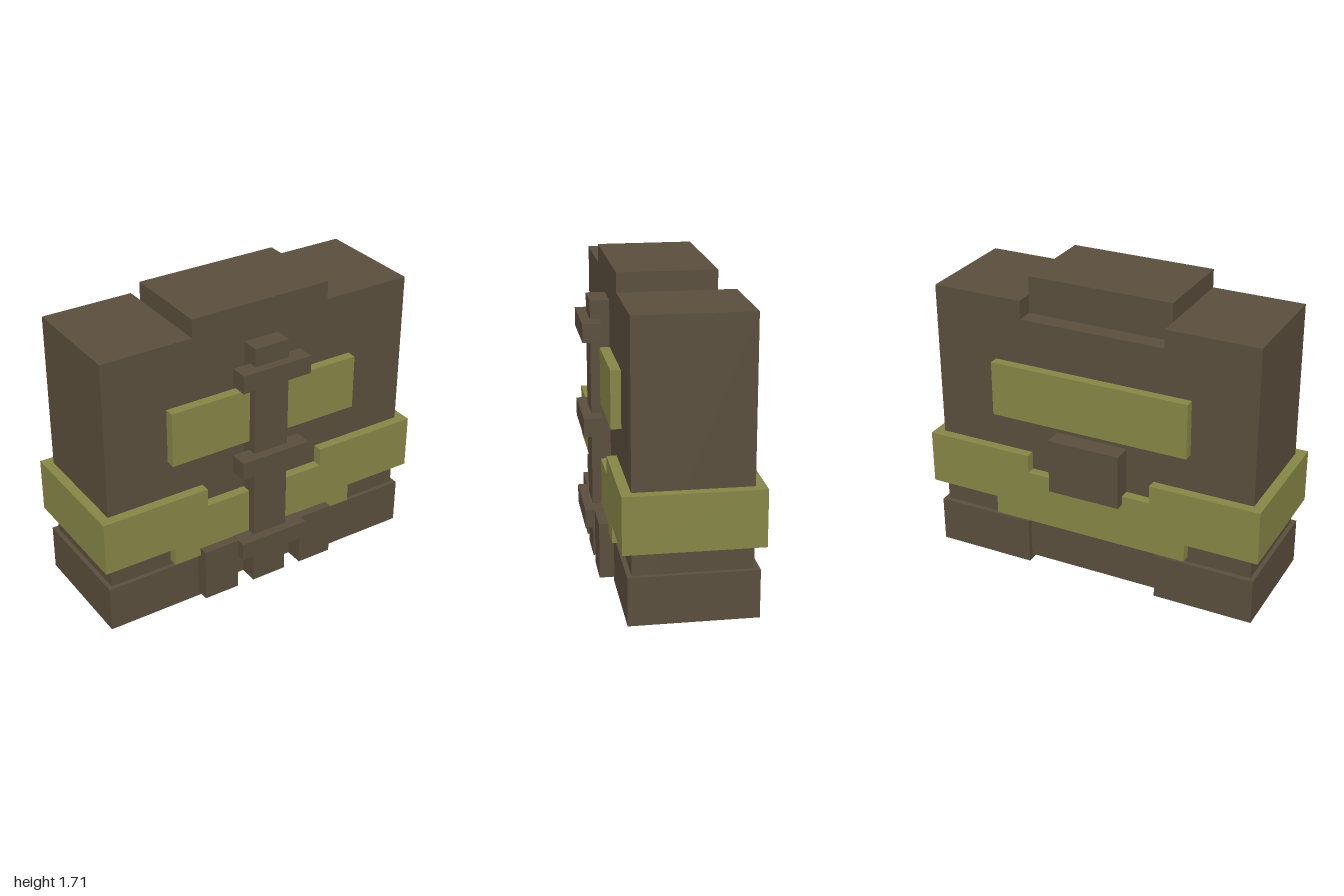
import * as THREE from 'three';

export function createModel() {
  const model = new THREE.Group();
  model.name = 'armouredTorso';

  const brown = new THREE.MeshStandardMaterial({ color: 0x5a4e3c });
  brown.name = 'dark brown';
  const olive = new THREE.MeshStandardMaterial({ color: 0x868546 });
  olive.name = 'olive';

  const add = (name, geometry, material) => {
    const mesh = new THREE.Mesh(geometry, material);
    mesh.name = name;
    model.add(mesh);
    return mesh;
  };

  // Box given by its limits on each axis
  const box = (name, material, [x0, x1], [y0, y1], [z0, z1]) =>
    add(name, new THREE.BoxGeometry(x1 - x0, y1 - y0, z1 - z0), material)
      .position.set((x0 + x1) / 2, (y0 + y1) / 2, (z0 + z1) / 2);

  // Same box on the left (+x) and mirrored on the right (-x)
  const pair = (name, material, [x0, x1], y, z) => {
    box(name + 'Left', material, [x0, x1], y, z);
    box(name + 'Right', material, [-x1, -x0], y, z);
  };

  const extrude = (points, depth) => new THREE.ExtrudeGeometry(
    new THREE.Shape(points.map(([x, y]) => new THREE.Vector2(x, y))),
    { depth, bevelEnabled: false });

  const front = 0.29, back = -0.34;

  // Torso: two side blocks and a centre with a raised collar, notched behind
  pair('torsoSide', brown, [0.42, 0.945], [0.03, 1.605], [back, front]);
  const centre = extrude([
    [-front, 0.03], [-back, 0.03], [-back, 1.5], [0.24, 1.5], [0.24, 1.71], [-front, 1.71],
  ], 0.84);
  centre.rotateY(Math.PI / 2).translate(-0.42, 0, 0);
  add('torsoCentreAndCollar', centre, brown);

  // Hip blocks
  pair('hip', brown, [0.395, 0.97], [0, 0.265], [-0.37, 0.315]);

  // Belt: stepped panels front and back, joined by side bands
  const half = [[0.58, 0.295], [0.58, 0.4], [0.945, 0.4], [0.945, 0.71], [0.37, 0.71], [0.37, 0.605]];
  const outline = [...half, ...half.map(([x, y]) => [-x, y]).reverse()];
  add('beltFront', extrude(outline, 0.055), olive).position.z = front;
  add('beltBack', extrude(outline, 0.055), olive).position.z = back - 0.055;
  pair('beltSide', olive, [0.945, 1], [0.4, 0.71], [-0.395, 0.345]);

  // Chest and back panels
  box('chestPanel', olive, [-0.58, 0.58], [0.925, 1.24], [front, 0.345]);
  box('backPanel', olive, [-0.58, 0.58], [0.925, 1.24], [-0.395, back]);

  // Front strap with three clasps and lower tabs
  box('frontStrap', brown, [-0.105, 0.105], [0.03, 1.5], [front, 0.395]);
  for (const y of [0.24, 0.767, 1.293]) {
    box('clasp', brown, [-0.21, 0.21], [y, y + 0.103], [0.345, 0.447]);
  }
  pair('frontTab', brown, [0.21, 0.42], [0.03, 0.34], [front, 0.395]);

  // Pouch on the back
  box('backPouch', brown, [-0.21, 0.21], [0.555, 0.87], [-0.447, back]);

  return model;
}
